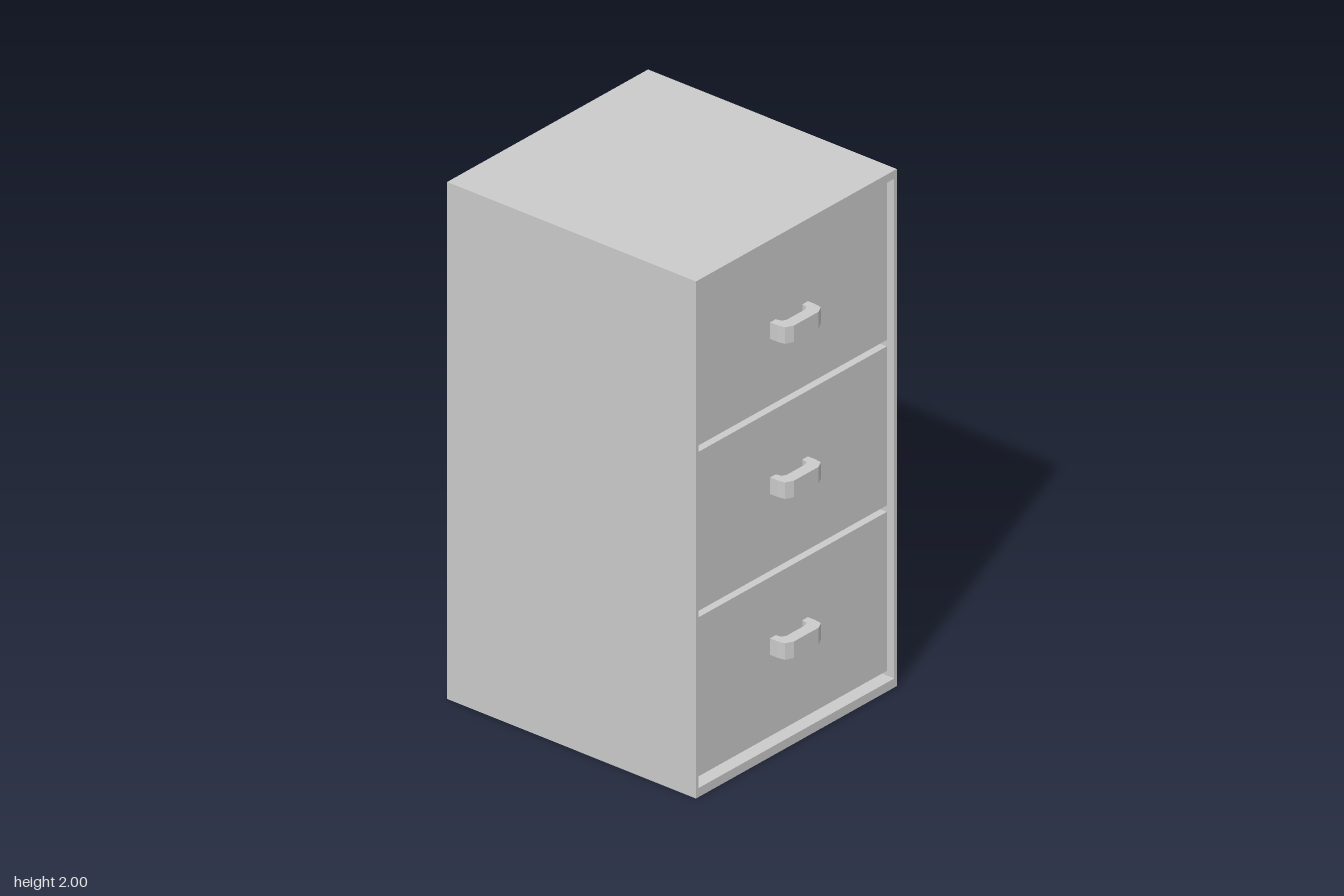
import * as THREE from 'three';

const material = new THREE.MeshStandardMaterial({ color: 0xcccccc, flatShading: true });

function addMesh(parent, name, geometry, x = 0, y = 0, z = 0) {
  const mesh = new THREE.Mesh(geometry, material);
  mesh.name = name;
  mesh.position.set(x, y, z);
  parent.add(mesh);
  return mesh;
}

function polygon(points) {
  return points.map(([x, y]) => new THREE.Vector2(x, y));
}

function rectangle(x, y0, y1) {
  return polygon([[-x, y0], [x, y0], [x, y1], [-x, y1]]);
}

export function createModel() {
  const model = new THREE.Group();
  model.name = 'filingCabinet';

  const width = 1.06, height = 2, front = 0.533, back = -0.577;
  const backThickness = 0.02, drawerFace = 0.5;

  // Open-fronted shell with thin walls
  const shell = new THREE.Shape(rectangle(width / 2, 0, height));
  shell.holes.push(new THREE.Path(rectangle(0.516, 0.035, 1.968)));
  const shellDepth = front - back - backThickness;
  addMesh(model, 'cabinetShell',
    new THREE.ExtrudeGeometry(shell, { depth: shellDepth, bevelEnabled: false }),
    0, 0, back + backThickness);
  addMesh(model, 'backPanel', new THREE.BoxGeometry(width, height, backThickness),
    0, height / 2, back + backThickness / 2);

  // Bracket handle: plan outline (x, z) raised along y
  const handleShape = new THREE.Shape(polygon([
    [-0.1, 0], [-0.1, 0.033], [-0.095, 0.062], [-0.065, 0.077],
    [0.065, 0.077], [0.095, 0.062], [0.1, 0.033], [0.1, 0],
    [0.07, 0], [0.066, 0.022], [0.05, 0.031],
    [-0.05, 0.031], [-0.066, 0.022], [-0.07, 0],
  ]));
  const handleHeight = 0.064;
  const handleGeometry = new THREE.ExtrudeGeometry(handleShape, { depth: handleHeight, bevelEnabled: false });
  handleGeometry.rotateX(Math.PI / 2);
  handleGeometry.scale(1, 1, 1).translate(0, handleHeight / 2, 0);

  // Three recessed drawers, separated by narrow gaps
  const drawers = [
    { bottom: 0.053, top: 0.668, handle: 0.4 },
    { bottom: 0.693, top: 1.308, handle: 1.022 },
    { bottom: 1.333, top: 1.948, handle: 1.622 },
  ];
  const drawerDepth = drawerFace - back - backThickness;
  for (const { bottom, top, handle } of drawers) {
    const drawer = new THREE.Group();
    drawer.name = 'drawer';
    addMesh(drawer, 'drawerBox', new THREE.BoxGeometry(1.032, top - bottom, drawerDepth),
      0, (bottom + top) / 2, drawerFace - drawerDepth / 2);
    addMesh(drawer, 'handle', handleGeometry, 0, handle, drawerFace);
    model.add(drawer);
  }
  return model;
}
